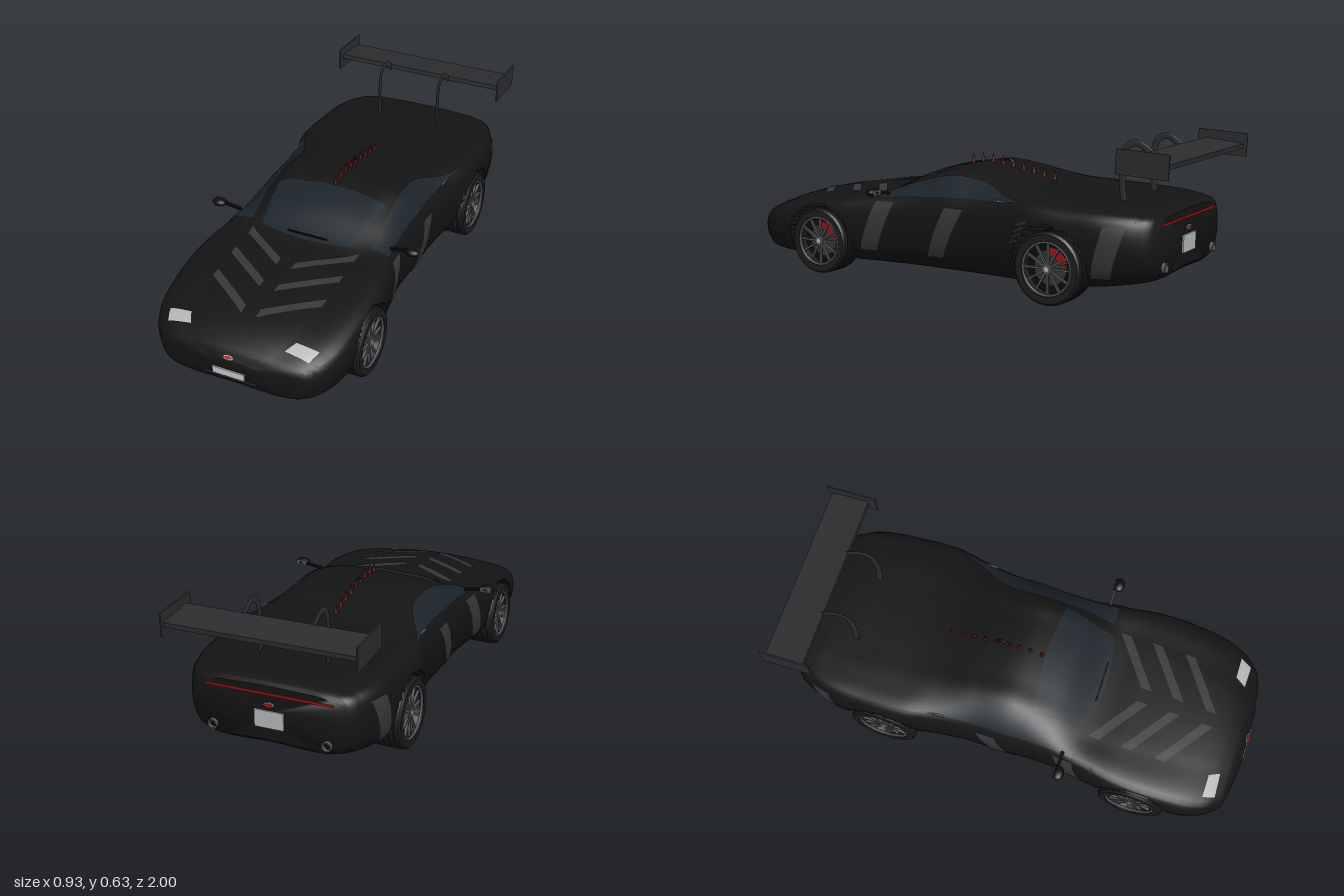
import * as THREE from 'three';
import { toCreasedNormals } from 'three/addons/utils/BufferGeometryUtils.js';

const mat = (color) => new THREE.MeshStandardMaterial({ color, side: THREE.DoubleSide });
const M = {
  paint: mat(0x141414), black: mat(0x0c0c0c), tyre: mat(0x1c1c1c), glass: mat(0x1b2329),
  stripe: mat(0x363738), wing: mat(0x2b2d2e), rim: mat(0x55575a), silver: mat(0xb4b6b8),
  red: mat(0xa01414), spike: mat(0x5a0c0c), plate: mat(0xdcdcd8),
};

// Body stations, rear to front: bottom, half width, its height, shoulder height, roof half width, roof edge, top
const Z = [-0.915, -0.9, -0.85, -0.75, -0.6, -0.42, -0.3, -0.15, 0, 0.08, 0.2, 0.35, 0.5, 0.7, 0.85, 0.93, 0.97, 0.99];
const STATIONS = [
  0.14, 0.30, 0.25, 0.325, 0.23, 0.35, 0.36,
  0.125, 0.325, 0.25, 0.34, 0.25, 0.36, 0.372,
  0.105, 0.36, 0.26, 0.35, 0.26, 0.372, 0.382,
  0.085, 0.395, 0.27, 0.36, 0.28, 0.38, 0.39,
  0.065, 0.41, 0.28, 0.365, 0.28, 0.39, 0.397,
  0.055, 0.41, 0.29, 0.372, 0.27, 0.40, 0.41,
  0.055, 0.387, 0.29, 0.368, 0.25, 0.415, 0.427,
  0.055, 0.37, 0.28, 0.36, 0.24, 0.442, 0.458,
  0.055, 0.37, 0.27, 0.355, 0.24, 0.457, 0.475,
  0.055, 0.367, 0.27, 0.35, 0.245, 0.442, 0.464,
  0.055, 0.367, 0.27, 0.345, 0.25, 0.405, 0.43,
  0.055, 0.385, 0.26, 0.335, 0.24, 0.35, 0.357,
  0.055, 0.41, 0.25, 0.318, 0.24, 0.337, 0.343,
  0.055, 0.41, 0.22, 0.288, 0.22, 0.313, 0.322,
  0.055, 0.385, 0.19, 0.25, 0.20, 0.282, 0.293,
  0.065, 0.335, 0.17, 0.222, 0.18, 0.25, 0.262,
  0.09, 0.27, 0.16, 0.20, 0.14, 0.225, 0.235,
  0.13, 0.14, 0.17, 0.19, 0.07, 0.20, 0.207];
const profile = new THREE.CubicInterpolant(Z, STATIONS, 7);
const SEG = 6, RING = 14 * SEG;
const WHEELS = [[0.59, 0.14], [-0.51, 0.145]]; // z and radius

// Closed cross-section at z, starting at the top centre and running down the +x side
function sectionCurve(z) {
  const [yb, w, yw, ys, wr, yr, yt] = profile.evaluate(z);
  const half = [[0, yt], [0.55 * wr, yt - 0.27 * (yt - yr)], [wr, yr], [0.94 * w, ys], [w, yw],
    [0.92 * w, yb + 0.27 * (yw - yb)], [0.7 * w, yb], [0, yb]];
  const all = [...half, ...half.slice(1, 7).reverse().map(([x, y]) => [-x, y])];
  return new THREE.CatmullRomCurve3(all.map(([x, y]) => new THREE.Vector3(x, y, z)), true);
}
const ring = (z) => { const c = sectionCurve(z); return Array.from({ length: RING }, (_, j) => c.getPoint(j / RING)); };

// Points on the skin: from above at (x, z), or from the side at (z, y)
function onSkin(z, key, value) {
  const p = ring(z).slice(0, RING / 2 + 1);
  const past = key === 'x' ? (q) => q.x >= value : (q) => q.y <= value;
  const k = Math.max(1, p.findIndex(past));
  const f = (value - p[k - 1][key]) / (p[k][key] - p[k - 1][key] || 1);
  return p[k - 1].clone().lerp(p[k], THREE.MathUtils.clamp(f, 0, 1));
}
function fromAbove(x, z) {
  const p = onSkin(z, 'x', Math.abs(x));
  return new THREE.Vector3(x, p.y + 0.004, z);
}
function fromSide(z, y) {
  const p = onSkin(z, 'y', y);
  return p.setX(p.x + 0.004);
}

// Grid surface from a function of u and v in 0..1
function grid(fn, nu, nv) {
  const g = new THREE.PlaneGeometry(1, 1, nu, nv), uv = g.attributes.uv, pos = g.attributes.position;
  for (let i = 0; i < pos.count; i++) {
    const p = fn(uv.getX(i), uv.getY(i));
    pos.setXYZ(i, p.x, p.y, p.z);
  }
  g.computeVertexNormals();
  return g;
}
// Four-cornered decal laid on the skin
function decal(c, project, n = 12) {
  const at = (u, v, k) => (c[0][k] * (1 - u) + c[1][k] * u) * (1 - v) + (c[3][k] * (1 - u) + c[2][k] * u) * v;
  return grid((u, v) => project(at(u, v, 0), at(u, v, 1)), n, n);
}

function bodyGeometry() {
  const N = 240, pos = [], idx = [];
  for (let i = 0; i <= N; i++) {
    const z = 0.0375 + 0.9525 * Math.sin((i / N - 0.5) * Math.PI);
    for (const p of ring(z)) {
      // press the wheel wells into the sides
      const inWell = WHEELS.some(([wz, r]) => Math.hypot(z - wz, p.y - r) < r + 0.013);
      pos.push(inWell ? THREE.MathUtils.clamp(p.x, -0.27, 0.27) : p.x, p.y, z);
    }
  }
  const rear = (N + 1) * RING, front = rear + 1;
  pos.push(0, 0.25, -0.915, 0, 0.17, 0.99);
  for (let j = 0; j < RING; j++) {
    const k = (j + 1) % RING;
    for (let i = 0; i < N; i++) {
      const a = i * RING + j, b = i * RING + k;
      idx.push(a, a + RING, b, b, a + RING, b + RING);
    }
    idx.push(rear, j, k, front, N * RING + k, N * RING + j);
  }
  const g = new THREE.BufferGeometry();
  g.setAttribute('position', new THREE.Float32BufferAttribute(pos, 3));
  g.setIndex(idx);
  return toCreasedNormals(g, 0.7);
}

function add(parent, name, geo, material, x = 0, y = 0, z = 0) {
  const m = new THREE.Mesh(geo, material);
  m.name = name;
  m.position.set(x, y, z);
  parent.add(m);
  return m;
}
const box = (w, h, d) => new THREE.BoxGeometry(w, h, d);
const cyl = (r, h, n = 32) => new THREE.CylinderGeometry(r, r, h, n).rotateX(Math.PI / 2);

// Wheel built facing +z
function makeWheel(r) {
  const w = new THREE.Group(), h = 0.0625, s = r / 0.14;
  w.name = 'wheel';
  const pts = [[0.104, -h], [0.13, -h], [0.138, -h + 0.008]];
  for (const g of [-0.036, -0.012, 0.012, 0.036]) // tread grooves
    pts.push([0.14, g - 0.004], [0.135, g - 0.003], [0.135, g + 0.003], [0.14, g + 0.004]);
  pts.push([0.138, h - 0.008], [0.13, h], [0.104, h], [0.1, h - 0.012], [0.1, -h], [0.104, -h]);
  const tyre = new THREE.LatheGeometry(pts.map(([a, b]) => new THREE.Vector2(a * s, b)), 48).rotateX(Math.PI / 2);
  add(w, 'tyre', toCreasedNormals(tyre, 0.5), M.tyre);
  add(w, 'rimRing', new THREE.TorusGeometry(0.1 * s, 0.005, 8, 48), M.rim, 0, 0, h - 0.006);
  add(w, 'wheelBack', cyl(0.1 * s, 0.02), M.black, 0, 0, 0.005);
  add(w, 'brakeDisc', cyl(0.068 * s, 0.008), M.stripe, 0, 0, 0.022);
  add(w, 'brakeCaliper', new THREE.RingGeometry(0.045 * s, 0.08 * s, 16, 1, 0.3, 1.3), M.red, 0, 0, 0.034);
  for (let i = 0; i < 12; i++) {
    const spoke = add(w, 'spoke', box(0.085 * s, 0.008, 0.01).translate(0.058 * s, 0, 0), M.rim, 0, 0, 0.046);
    spoke.rotation.z = (i * Math.PI) / 6;
  }
  add(w, 'hub', cyl(0.02, 0.02), M.rim, 0, 0, 0.045);
  add(w, 'hubCap', cyl(0.01, 0.024), M.silver, 0, 0, 0.047);
  return w;
}

// Everything that repeats on both sides, built on +x
function makeSide() {
  const s = new THREE.Group();
  s.name = 'sideParts';
  add(s, 'sideWindow', grid((u, v) => {
    const z = 0.31 - 0.69 * u;
    const top = 2.15 + 0.65 * THREE.MathUtils.smoothstep(-z, 0.12, 0.38);
    const p = sectionCurve(z).getPoint(THREE.MathUtils.lerp(2.9, top, v) / 14);
    return p.add(new THREE.Vector3(0.003, 0.003, 0));
  }, 40, 8), M.glass);
  for (const z of [0.35, 0.49, 0.635])
    add(s, 'hoodStripe', decal([[0.24, z], [0.03, z + 0.15], [0.03, z + 0.195], [0.24, z + 0.045]], fromAbove), M.stripe);
  for (const [a, b] of [[0.395, 0.315], [0.075, -0.02], [-0.68, -0.74]])
    add(s, 'sideStripe', decal([[a, 0.12], [a - 0.075, 0.12], [b - 0.085, 0.33], [b, 0.33]], fromSide), M.stripe);
  add(s, 'headlight', decal([[0.32, 0.87], [0.225, 0.87], [0.2, 0.915], [0.3, 0.92]], fromAbove), M.silver);
  for (let i = 0; i < 4; i++) { // vent ahead of the rear wheel
    const y = 0.22 + i * 0.025, z = -0.335 - i * 0.012;
    add(s, 'ventSlat', decal([[z, y], [z - 0.05, y + 0.02], [z - 0.05, y + 0.03], [z, y + 0.01]], fromSide, 4), M.wing);
  }
  const handle = fromSide(-0.28, 0.378);
  add(s, 'doorHandle', box(0.008, 0.008, 0.08), M.rim, handle.x, handle.y, handle.z);

  add(s, 'mirrorArm', box(0.09, 0.01, 0.014), M.black, 0.385, 0.37, 0.27).rotation.z = 0.15;
  add(s, 'mirrorHousing', new THREE.SphereGeometry(1, 20, 12).scale(0.031, 0.016, 0.024), M.black, 0.436, 0.378, 0.28);
  add(s, 'mirrorGlass', box(0.048, 0.022, 0.004), M.rim, 0.436, 0.378, 0.26);

  const strut = new THREE.CatmullRomCurve3([[0.37, -0.705], [0.47, -0.695], [0.56, -0.7], [0.605, -0.72],
    [0.615, -0.76], [0.595, -0.795], [0.57, -0.83]].map(([y, z]) => new THREE.Vector3(0, y, z)));
  add(s, 'wingStrut', new THREE.TubeGeometry(strut, 32, 0.014, 10), M.wing, 0.142).scale.x = 0.3;
  add(s, 'wingEndPlate', box(0.006, 0.095, 0.212), M.wing, 0.389, 0.572, -0.892).rotation.x = -0.05;

  const pipe = new THREE.LatheGeometry([[0.015, -0.03], [0.02, -0.03], [0.02, 0.03], [0.015, 0.03], [0.015, -0.03]]
    .map(([a, b]) => new THREE.Vector2(a, b)), 24).rotateX(Math.PI / 2);
  add(s, 'exhaustPipe', toCreasedNormals(pipe, 0.5), M.rim, 0.235, 0.165, -0.9);
  add(s, 'exhaustInside', cyl(0.015, 0.03), M.black, 0.235, 0.165, -0.9);
  for (const [z, r] of WHEELS) {
    const wheel = makeWheel(r);
    wheel.position.set(0.349, r, z);
    wheel.rotation.y = Math.PI / 2;
    s.add(wheel);
  }
  return s;
}

export function createModel() {
  const car = new THREE.Group();
  car.name = 'sportsCar';
  add(car, 'body', bodyGeometry(), M.paint);
  add(car, 'windshield', grid((u, v) => {
    const s = u * 2 - 1, front = 0.355 - 0.03 * s * s, back = 0.085 + 0.02 * s * s;
    return fromAbove(s * (0.245 - 0.035 * v), THREE.MathUtils.lerp(back, front, v));
  }, 28, 16), M.glass);
  const left = makeSide(), right = makeSide();
  right.scale.x = -1;
  car.add(left, right);

  // Wipers
  for (const x of [-0.045, 0.045]) {
    const p = fromAbove(x, 0.335);
    add(car, 'wiper', box(0.085, 0.006, 0.006), M.black, x, p.y + 0.004, p.z);
  }
  // Roof spikes and the small hoop between them
  for (let i = 0; i < 9; i++) {
    const p = fromAbove(0, 0.07 - i * 0.049);
    add(car, 'roofSpike', new THREE.ConeGeometry(0.009, 0.045, 10), M.spike, 0, p.y + 0.016, p.z);
  }
  add(car, 'roofHoop', new THREE.TorusGeometry(0.03, 0.005, 8, 20, Math.PI).rotateY(Math.PI / 2), M.black, 0, 0.462, -0.1);
  // Rear wing blade
  add(car, 'wingBlade', box(0.775, 0.02, 0.165), M.wing, 0, 0.571, -0.9).rotation.x = -0.1;
  // Nose details
  add(car, 'frontGrille', box(0.22, 0.013, 0.05), M.wing, 0, 0.12, 0.962);
  add(car, 'frontPlate', box(0.135, 0.028, 0.008), M.plate, 0, 0.144, 0.992);
  const badge = (y, z, tilt) => {
    const b = new THREE.Group();
    b.name = 'ovalBadge';
    add(b, 'badgeRim', cyl(1, 0.006).scale(0.021, 0.009, 1), M.silver);
    add(b, 'badgeFace', cyl(1, 0.009).scale(0.017, 0.006, 1), M.red);
    b.position.set(0, y, z);
    b.rotation.x = tilt;
    car.add(b);
  };
  badge(0.213, 0.988, -0.9);
  badge(0.285, -0.916, 0);
  // Tail details
  add(car, 'tailLight', box(0.52, 0.009, 0.01), M.red, 0, 0.328, -0.914);
  add(car, 'rearPlate', box(0.12, 0.07, 0.008), M.silver, 0, 0.225, -0.917);
  return car;
}
